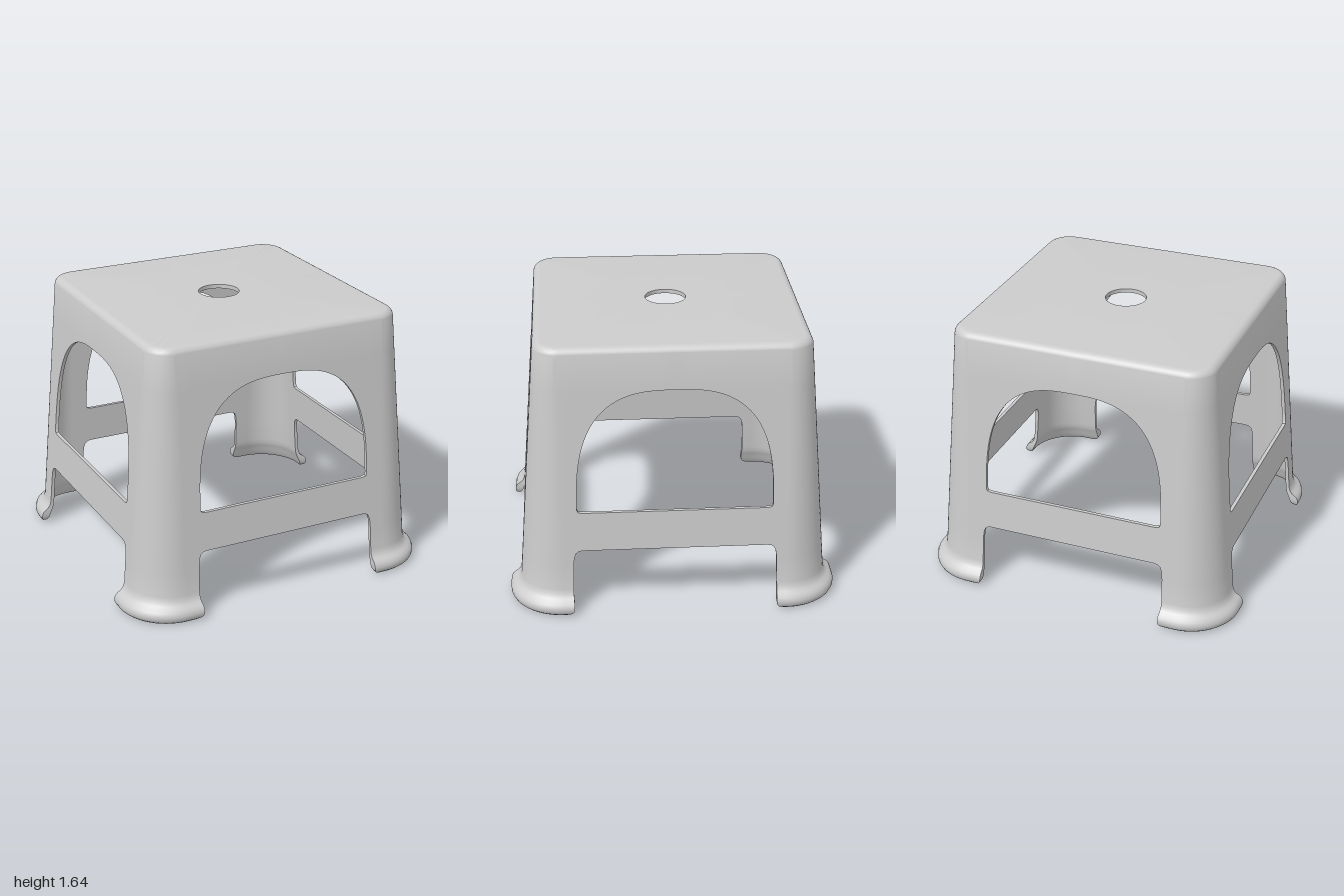
import * as THREE from 'three';
import { mergeGeometries, toCreasedNormals } from 'three/addons/utils/BufferGeometryUtils.js';

const T = 0.022;          // wall thickness
const TOP = 1.645;        // seat height
const ARCH = 1.388;       // crown of the side openings
const BAR = [0.4, 0.64];  // crossbar bottom and top
const BAR_END = 0.53;     // half length of a crossbar
const SIDE = 1.035;       // openings in the x sides are slightly wider
const HOLE = 0.125;

const material = new THREE.MeshStandardMaterial({ color: 0xcccccc });

// tapering walls
const wallX = (y) => 0.812 + (1.6 - y) * 0.084;
const wallZ = (y) => 0.812 + (1.6 - y) * 0.077;
const cornerR = (y) => 0.15 + (1.6 - y) * 0.07;

// quarter of a rounded rectangle, from the front opening edge round to the side one
function section(y, off, e = 0) {
  const a = wallX(y) + off, b = wallZ(y) + off, r = cornerR(y) + off;
  const pts = [], N = 8, C = 14;
  const ez = e * SIDE;
  for (let i = 0; i < N; i++) pts.push([e + (a - r - e) * i / N, y, b]);
  for (let i = 0; i <= C; i++) {
    const t = i / C * Math.PI / 2;
    pts.push([a - r + r * Math.sin(t), y, b - r + r * Math.cos(t)]);
  }
  for (let i = 1; i <= N; i++) pts.push([a, y, b - r + (ez - b + r) * i / N]);
  return pts;
}

// quarter of the seat hole, matched to the section by angle
const holeArc = (y) => section(y, 0).map(([x, , z]) => {
  const l = Math.hypot(x, z);
  return [x / l * HOLE, y, z / l * HOLE];
});

// surface through rows of points, mirrored by sx and sz
function grid(rows, sx, sz) {
  const pos = [], idx = [], n = rows[0].length, flip = sx * sz < 0;
  rows.forEach((row) => row.forEach(([x, y, z]) => pos.push(x * sx, y, z * sz)));
  for (let k = 0; k < rows.length - 1; k++) {
    for (let j = 0; j < n - 1; j++) {
      const a = k * n + j, b = a + n, c = a + 1, d = b + 1;
      if (flip) idx.push(a, c, b, c, d, b);
      else idx.push(a, b, c, c, b, d);
    }
  }
  const g = new THREE.BufferGeometry();
  g.setAttribute('position', new THREE.Float32BufferAttribute(pos, 3));
  g.setIndex(idx);
  return g;
}

function addMesh(parent, name, geometry) {
  const mesh = new THREE.Mesh(geometry, material);
  mesh.name = name;
  parent.add(mesh);
  return mesh;
}

const smooth = (parts) => toCreasedNormals(mergeGeometries(parts), 0.7);
const QUADRANTS = [[1, 1, 'frontLeft'], [-1, 1, 'frontRight'], [1, -1, 'backLeft'], [-1, -1, 'backRight']];

// seat with rounded rim, centre hole and the apron down to the arches
function seatGeometry() {
  const under = TOP - 0.025, R = 0.045;
  const rows = [
    section(ARCH, -T), section(1.6, -T), section(under, -T - 0.025),
    holeArc(under), holeArc(TOP),
  ];
  for (let i = 0; i <= 8; i++) {
    const t = i / 8 * Math.PI / 2;
    rows.push(section(TOP - R + R * Math.cos(t), -R + R * Math.sin(t)));
  }
  rows.push(section(ARCH, 0));
  return smooth(QUADRANTS.map(([sx, sz]) => grid(rows, sx, sz)));
}

// rows of a leg: [y, outer offset, inner offset, opening half width]
function legRows() {
  const rows = [];
  const n = 2 / 2.85, steps = 28;
  for (let i = 0; i < steps; i++) {          // arch
    const t = (1 - i / steps) * Math.PI / 2;
    const e = i === 0 ? 0 : 0.56 * Math.cos(t) ** n;
    const y = BAR[1] + (ARCH - BAR[1]) * Math.sin(t) ** n;
    if (y > 0.67) rows.push([y, 0, -T, e]);
  }
  rows.push(
    // small fillets above and below the crossbar
    [0.66, 0, -T, 0.56], [0.645, 0, -T, 0.553], [BAR[1], 0, -T, BAR_END],
    [BAR[0], 0, -T, BAR_END], [0.396, 0, -T, 0.553], [0.383, 0, -T, 0.57],
    [0.355, 0, -T, 0.58], [0.3, 0, -T, 0.585], [0.15, 0, -T, 0.588],
    // flared foot
    [0.12, 0.005, -0.02, 0.588], [0.1, 0.018, -0.015, 0.587], [0.088, 0.036, -0.01, 0.586],
    [0.072, 0.051, -0.004, 0.585], [0.05, 0.058, 0.003, 0.585], [0.03, 0.055, 0.01, 0.588],
    [0.014, 0.046, 0.018, 0.6], [0.004, 0.034, 0.024, 0.622], [0, 0.029, 0.029, 0.635],
  );
  return rows;
}

function legGeometry(sx, sz) {
  const rows = legRows();
  const outer = rows.map(([y, o, , e]) => section(y, o, e));
  const inner = rows.map(([y, , i, e]) => section(y, i, e));
  const last = outer[0].length - 1;
  return smooth([
    grid([...outer, ...[...inner].reverse()], sx, sz),
    grid(outer.map((row, i) => [inner[i][0], row[0]]), sx, sz),        // opening edges
    grid(outer.map((row, i) => [row[last], inner[i][last]]), sx, sz),
  ]);
}

// flat crossbar leaning with the wall
function barGeometry(wall, half) {
  const g = new THREE.BoxGeometry(half * 2, BAR[1] - BAR[0], T);
  g.translate(0, (BAR[0] + BAR[1]) / 2, -T / 2);
  const p = g.attributes.position;
  for (let i = 0; i < p.count; i++) p.setZ(i, p.getZ(i) + wall(p.getY(i)));
  g.computeVertexNormals();
  return g;
}

export function createModel() {
  const stool = new THREE.Group();
  stool.name = 'stool';
  addMesh(stool, 'seat', seatGeometry());
  QUADRANTS.forEach(([sx, sz, name]) => addMesh(stool, name + 'Leg', legGeometry(sx, sz)));
  ['front', 'left', 'back', 'right'].forEach((name, i) => {
    const geo = i % 2 ? barGeometry(wallX, BAR_END * SIDE) : barGeometry(wallZ, BAR_END);
    addMesh(stool, name + 'Crossbar', geo).rotation.y = i * Math.PI / 2;
  });
  return stool;
}
